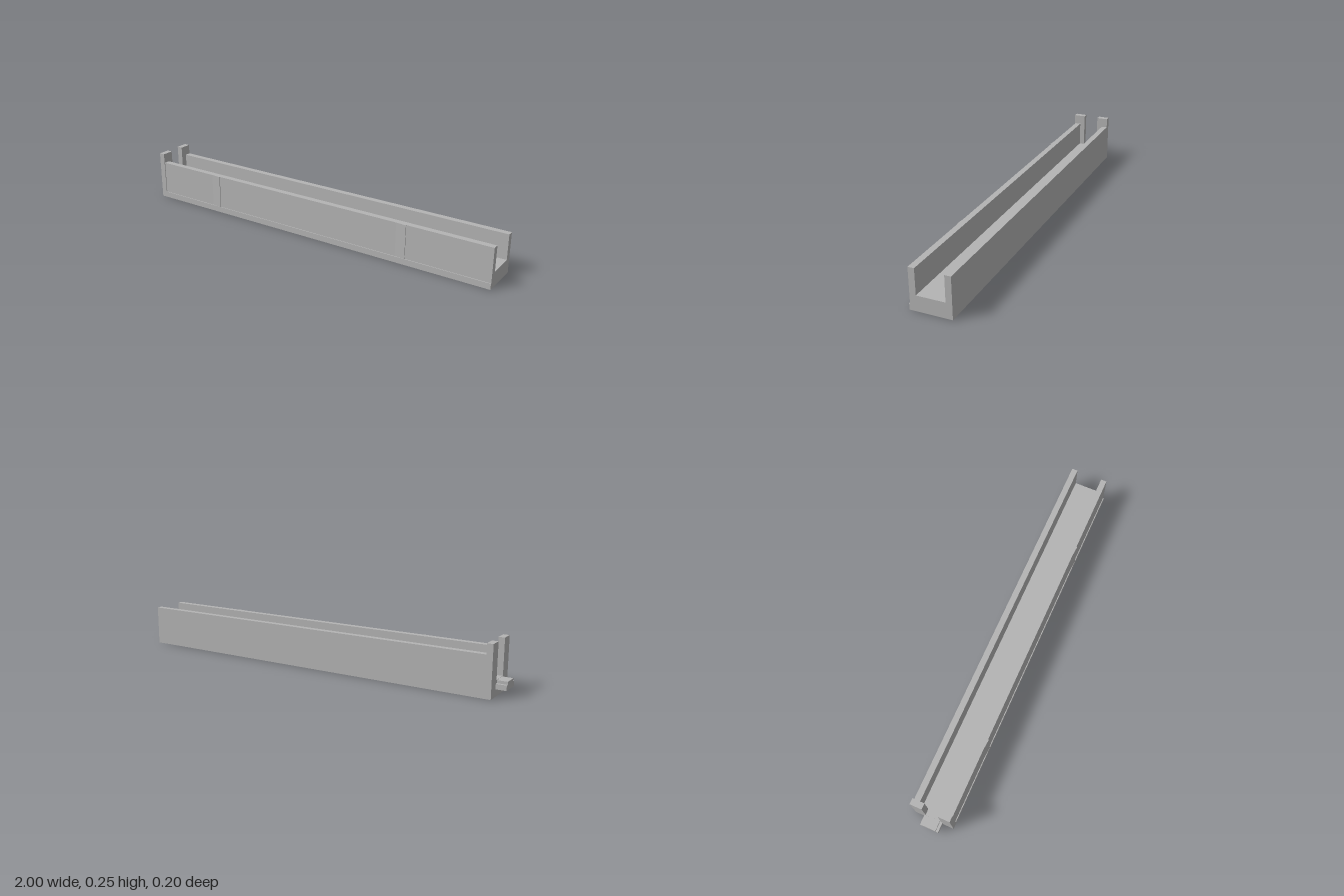
import * as THREE from 'three';

const grey = new THREE.MeshStandardMaterial({ color: 0xb4b4b4 });
grey.name = 'plain grey';

const toShape = (points) => new THREE.Shape(points.map(([a, b]) => new THREE.Vector2(a, b)));

// Extrudes a (z, y) cross-section along x from x0 to x1
function alongX(name, points, x0, x1) {
  const geo = new THREE.ExtrudeGeometry(toShape(points), { depth: x1 - x0, bevelEnabled: false });
  geo.rotateY(-Math.PI / 2).translate(x1, 0, 0);
  const mesh = new THREE.Mesh(geo, grey);
  mesh.name = name;
  return mesh;
}

// Extrudes an (x, z) outline upward from y0 to y1
function alongY(name, points, y0, y1) {
  const geo = new THREE.ExtrudeGeometry(toShape(points), { depth: y1 - y0, bevelEnabled: false });
  geo.rotateX(Math.PI / 2).translate(0, y1, 0);
  const mesh = new THREE.Mesh(geo, grey);
  mesh.name = name;
  return mesh;
}

export function createModel() {
  const model = new THREE.Group();
  model.name = 'channel';

  const floorY = 0.075, wallY = 0.2, ledgeY = 0.03, faceZ = 0.096;

  // Long open channel, its front face set back above a low ledge
  model.add(alongX('channelBody', [
    [-0.1, 0], [0.1, 0], [0.1, ledgeY], [faceZ, ledgeY], [faceZ, wallY],
    [0.066, wallY], [0.066, floorY], [-0.07, floorY], [-0.07, wallY], [-0.1, wallY],
  ], -0.92, 1));

  // Taller end frame with two posts
  model.add(alongX('endPosts', [
    [-0.1, 0], [0.1, 0], [0.1, 0.25], [0.04, 0.25],
    [0.04, floorY], [-0.04, floorY], [-0.04, 0.25], [-0.1, 0.25],
  ], -0.95, -0.92));

  // Stepped tongue projecting from the end
  model.add(alongX('tongue', [
    [-0.047, 0.035], [0.047, 0.035], [0.047, 0.06], [0.034, 0.06],
    [0.034, 0.074], [-0.034, 0.074], [-0.034, 0.06], [-0.047, 0.06],
  ], -1, -0.95));

  // Shallow ramped catches on the front face
  for (const x of [-0.526, 0.577]) {
    model.add(alongY('rampCatch', [[x - 0.052, faceZ], [x, faceZ], [x, 0.1]], ledgeY, wallY));
  }
  return model;
}
